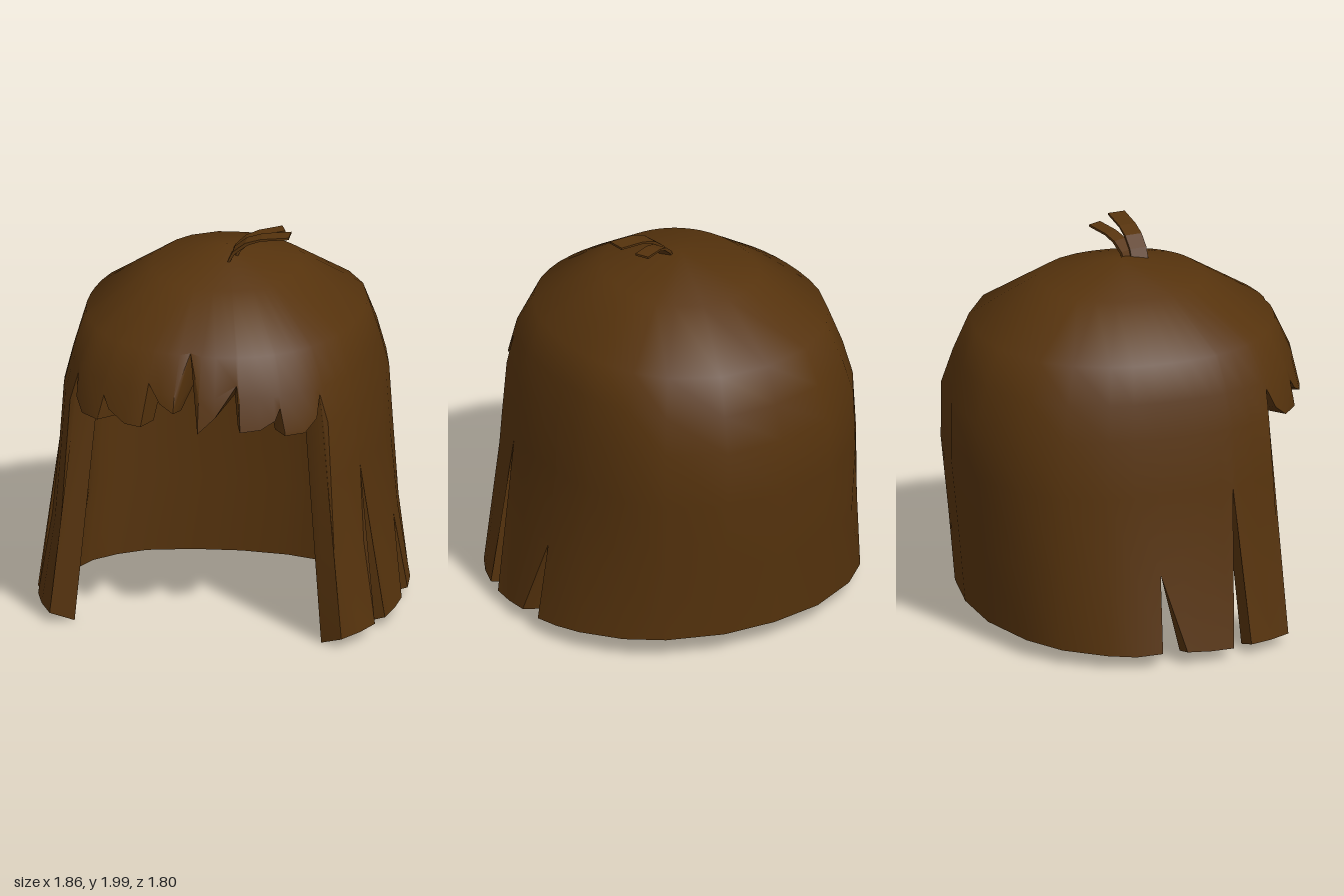
import * as THREE from 'three';
import { toCreasedNormals } from 'three/addons/utils/BufferGeometryUtils.js';

const { lerp, clamp, degToRad } = THREE.MathUtils;

// Outer profile rows: height, half width, front depth, back depth
const ROWS = [
  [1.89, 0, 0, 0], [1.795, 0.37, 0.42, 0.42], [1.57, 0.70, 0.77, 0.77], [1.38, 0.75, 0.86, 0.84],
  [1.2, 0.795, 0.90, 0.90], [0.9, 0.815, 0.93, 0.90], [0.5, 0.855, 0.93, 0.86], [0, 0.945, 0.955, 0.815],
];

// Hem: angle from the front in degrees, height of the cut edge
const FRINGE_LEFT = [[4.5, 1.2], [10, 1.28], [17.5, 1.44], [18.3, 1.21], [25, 1.22], [30, 1.26],
  [32, 1.32], [33, 1.18], [40, 1.18], [45, 1.24], [47.6, 1.35]];
const FRINGE_RIGHT = [[4, 1.29], [9, 1.33], [14, 1.42], [15, 1.2], [21, 1.2], [28, 1.25],
  [31, 1.31], [32.2, 1.18], [40, 1.18], [45, 1.24], [47.6, 1.35]];
const STRANDS = [[49.4, 0.06], [57, 0.065], [64.3, 0.07], [65.8, 0.9], [70.4, 0.07], [78, 0.075],
  [85.7, 0.085], [93.4, 0.49], [93.7, 0.09]];
const BACK_LEFT = [[102, 0.1], [111, 0.11], [126, 0.12], [140, 0.125], [160, 0.125]];
const BACK_RIGHT = [[102, 0.08], [111, 0.085], [126, 0.09], [140, 0.1], [160, 0.11]];
const mirror = (list) => list.map(([a, y]) => [-a, y]).reverse();
const HEM = [[-180, 0.12], ...mirror([...FRINGE_RIGHT, ...STRANDS, ...BACK_RIGHT]), [0, 1.58],
  ...FRINGE_LEFT, ...STRANDS, ...BACK_LEFT, [180, 0.12]];

// Point on the outer surface: rounded-square cross-section at height y
function outerPoint(deg, y) {
  let i = 0;
  while (i < ROWS.length - 2 && y < ROWS[i + 1][0]) i++;
  const t = (ROWS[i][0] - y) / (ROWS[i][0] - ROWS[i + 1][0]);
  const [, w, front, back] = ROWS[i].map((v, k) => lerp(v, ROWS[i + 1][k], t));
  if (w < 1e-6) return new THREE.Vector3(0, y, 0);
  const s = Math.sin(degToRad(deg)), c = Math.cos(degToRad(deg));
  let n = 2.2;
  if (y < 1.5) n = c > 0 ? lerp(1.95, 2.45, Math.min(1, Math.abs(s) / 0.7)) : lerp(2.1, 2.4, Math.min(1, y / 0.9));
  const r = Math.pow(Math.pow(Math.abs(s) / w, n) + Math.pow(Math.abs(c) / (c > 0 ? front : back), n), -1 / n);
  return new THREE.Vector3(s * r, y, c * r);
}

// Matching point on the lining: thin at the front and sides, thick at the back, with a low ceiling
function innerPoint(p, deg) {
  const low = clamp(1 - p.y / 0.4, 0, 1);
  const dome = clamp((p.y - 1.1) / 0.79, 0, 1);
  const back = clamp(-p.z / 0.7, 0, 1);
  const depth = p.z < 0 ? 0.36 : lerp(0.85, 1, clamp((Math.abs(deg) - 25) / 50, 0, 1));
  const y = p.y - 0.5 * dome * dome - 0.35 * back * dome - low * (0.055 - 0.045 * back);
  return new THREE.Vector3(p.x * 0.845, y, p.z * depth);
}

function shellGeometry() {
  const outer = HEM.map(([deg, hem]) => ROWS.map(([y]) => outerPoint(deg, Math.max(y, hem))));
  const inner = outer.map((col, i) => col.map((p) => innerPoint(p, HEM[i][0])));
  const pos = [];
  const tri = (a, b, c) => {
    const area = b.clone().sub(a).cross(c.clone().sub(a)).length();
    if (area > 1e-7) for (const p of [a, b, c]) pos.push(p.x, p.y, p.z);
  };
  const quad = (a, b, c, d) => { tri(a, b, c); tri(a, c, d); };
  const last = ROWS.length - 1;
  for (let i = 0; i < HEM.length - 1; i++) {
    const o = outer[i], p = outer[i + 1], q = inner[i], r = inner[i + 1];
    for (let j = 0; j < last; j++) {
      quad(o[j], o[j + 1], p[j + 1], p[j]);
      quad(q[j], r[j], r[j + 1], q[j + 1]);
    }
    quad(o[last], q[last], r[last], p[last]); // cut edge
  }
  const geo = new THREE.BufferGeometry();
  geo.setAttribute('position', new THREE.Float32BufferAttribute(pos, 3));
  return toCreasedNormals(geo, 0.85);
}

// Thin curved lock standing up from the crown
function lockGeometry(length, height, width) {
  const path = [[0, 0], [0.1, 0.42], [0.3, 0.74], [0.55, 0.9], [1, 1]];
  const top = path.map(([x, y]) => new THREE.Vector2(x * length, y * height));
  const under = path.map(([x, y], i) =>
    new THREE.Vector2(x * length + (i < 3 ? 0.012 : 0), y * height - (i > 0 ? 0.011 : 0))).reverse();
  const geo = new THREE.ExtrudeGeometry(new THREE.Shape([...top, ...under]),
    { depth: width, bevelEnabled: false });
  return geo.translate(0, 0, -width / 2);
}

export function createModel() {
  const group = new THREE.Group();
  group.name = 'hair';
  const material = new THREE.MeshStandardMaterial({ color: 0x56330d, side: THREE.DoubleSide });
  const add = (name, geometry) => {
    const mesh = new THREE.Mesh(geometry, material);
    mesh.name = name;
    group.add(mesh);
    return mesh;
  };

  add('hairShell', shellGeometry());

  // Two stray locks on the crown
  const frontLock = add('frontStrayLock', lockGeometry(0.32, 0.16, 0.09));
  frontLock.position.set(0.03, 1.84, 0.11);
  frontLock.rotation.y = 0.1;
  const backLock = add('backStrayLock', lockGeometry(0.27, 0.14, 0.075));
  backLock.position.set(0.04, 1.84, 0.06);
  backLock.rotation.y = 0.45;

  return group;
}
